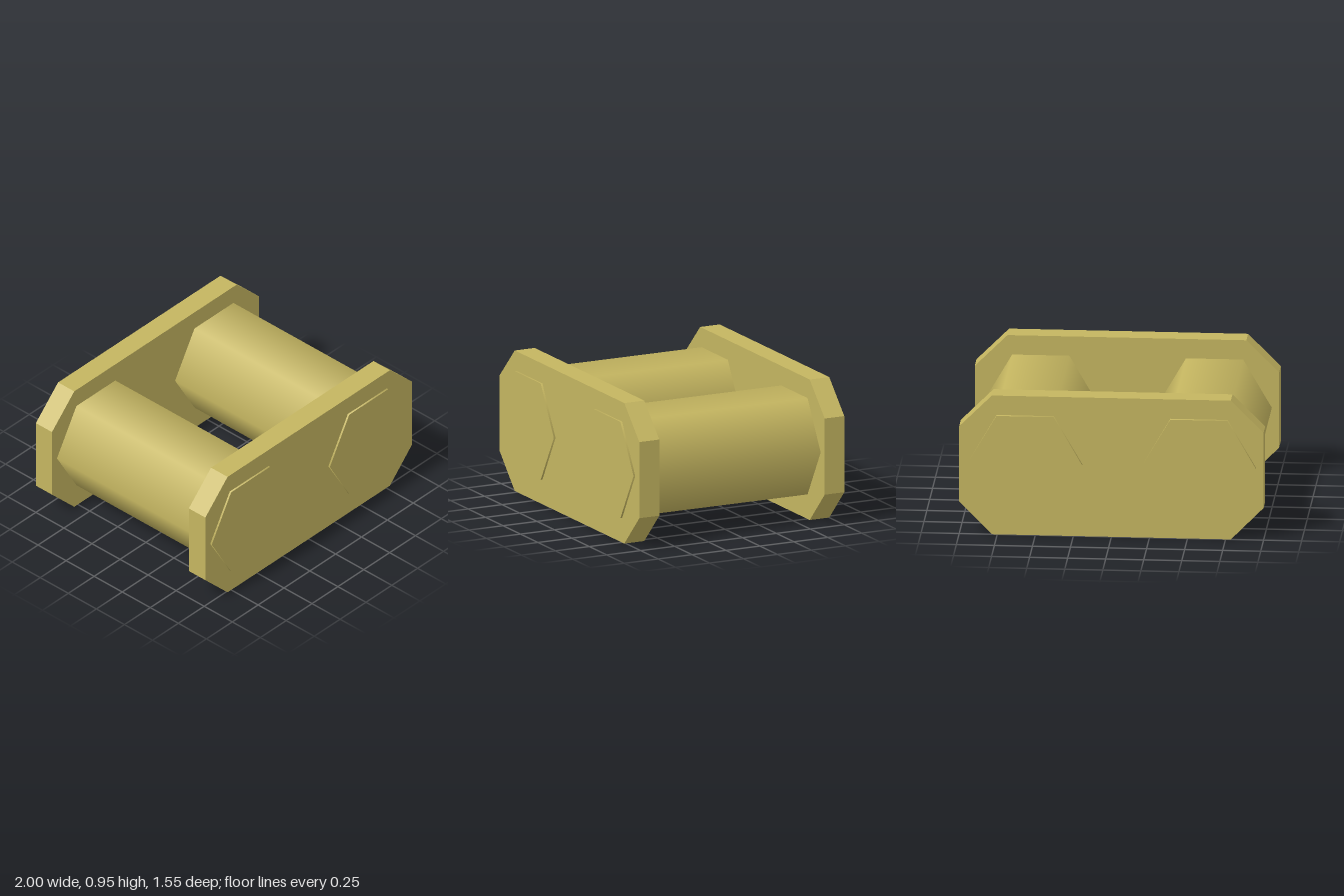
import * as THREE from 'three';

const brass = new THREE.MeshStandardMaterial({ color: 0xc4b560 });
brass.name = 'brass';

// Side plate: a rectangle with cut corners, extruded along z
function makePlate(name, zBack, zFront) {
  const shape = new THREE.Shape([
    [-0.785, 0], [0.785, 0], [1, 0.22], [1, 0.735],
    [0.785, 0.95], [-0.785, 0.95], [-1, 0.735], [-1, 0.22],
  ].map(([x, y]) => new THREE.Vector2(x, y)));
  const geometry = new THREE.ExtrudeGeometry(shape, { depth: zFront - zBack, bevelEnabled: false });
  const plate = new THREE.Mesh(geometry, brass);
  plate.name = name;
  plate.position.z = zBack;
  return plate;
}

// Hexagonal pin with smooth sides, lying along z with corners at left and right
function makePin(name, x) {
  const geometry = new THREE.CylinderGeometry(0.376, 0.376, 1.546, 6, 1, false, Math.PI / 2);
  geometry.rotateX(Math.PI / 2);
  const pin = new THREE.Mesh(geometry, brass);
  pin.name = name;
  pin.position.set(x, 0.492, 0);
  return pin;
}

export function createModel() {
  const model = new THREE.Group();
  model.name = 'chainLink';
  model.add(
    makePlate('frontPlate', 0.613, 0.76),
    makePlate('backPlate', -0.75, -0.606),
    makePin('leftPin', 0.566),
    makePin('rightPin', -0.576),
  );
  return model;
}
